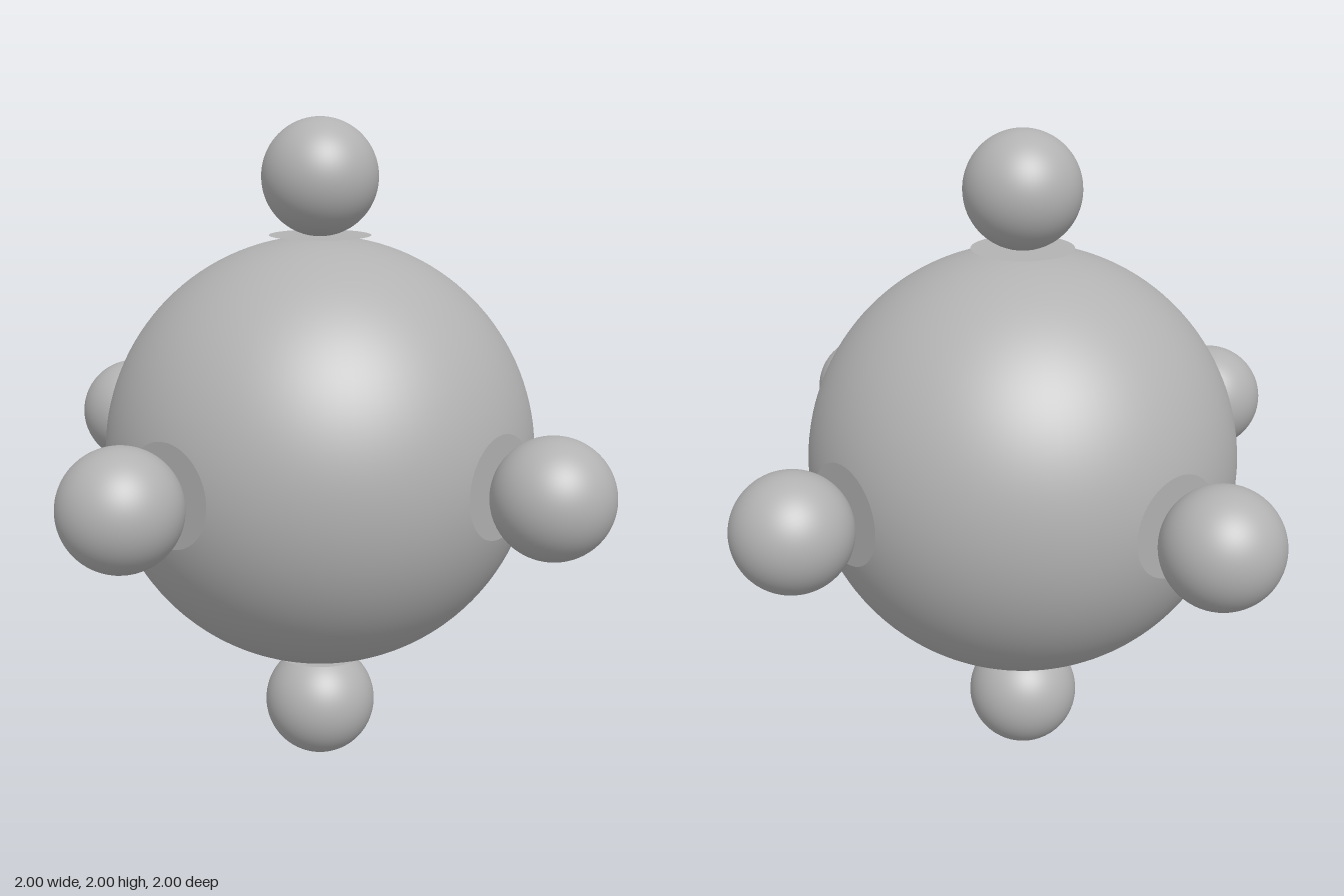
import * as THREE from 'three';

export function createModel() {
  const model = new THREE.Group();
  model.name = 'sixKnobSphere';
  const grey = new THREE.MeshStandardMaterial({ color: 0xb2b2b2, side: THREE.DoubleSide });
  grey.name = 'grey';

  const add = (parent, name, geometry, y) => {
    const mesh = new THREE.Mesh(geometry, grey);
    mesh.name = name;
    mesh.position.y = y;
    parent.add(mesh);
  };

  // Large central ball
  add(model, 'body', new THREE.SphereGeometry(0.653, 96, 64), 1);

  // Flat disc and small ball, shared by all six directions
  const discGeometry = new THREE.CircleGeometry(0.152, 64).rotateX(-Math.PI / 2);
  const knobGeometry = new THREE.SphereGeometry(0.173, 64, 40);

  const directions = {
    top: [0, 1, 0], bottom: [0, -1, 0],
    left: [1, 0, 0], right: [-1, 0, 0],
    front: [0, 0, 1], back: [0, 0, -1],
  };
  const up = new THREE.Vector3(0, 1, 0);
  for (const [side, dir] of Object.entries(directions)) {
    const arm = new THREE.Group();
    arm.name = side + 'Knob';
    arm.position.y = 1;
    arm.quaternion.setFromUnitVectors(up, new THREE.Vector3(...dir));
    add(arm, side + 'Disc', discGeometry, 0.657);
    add(arm, side + 'Ball', knobGeometry, 0.827);
    model.add(arm);
  }
  return model;
}
